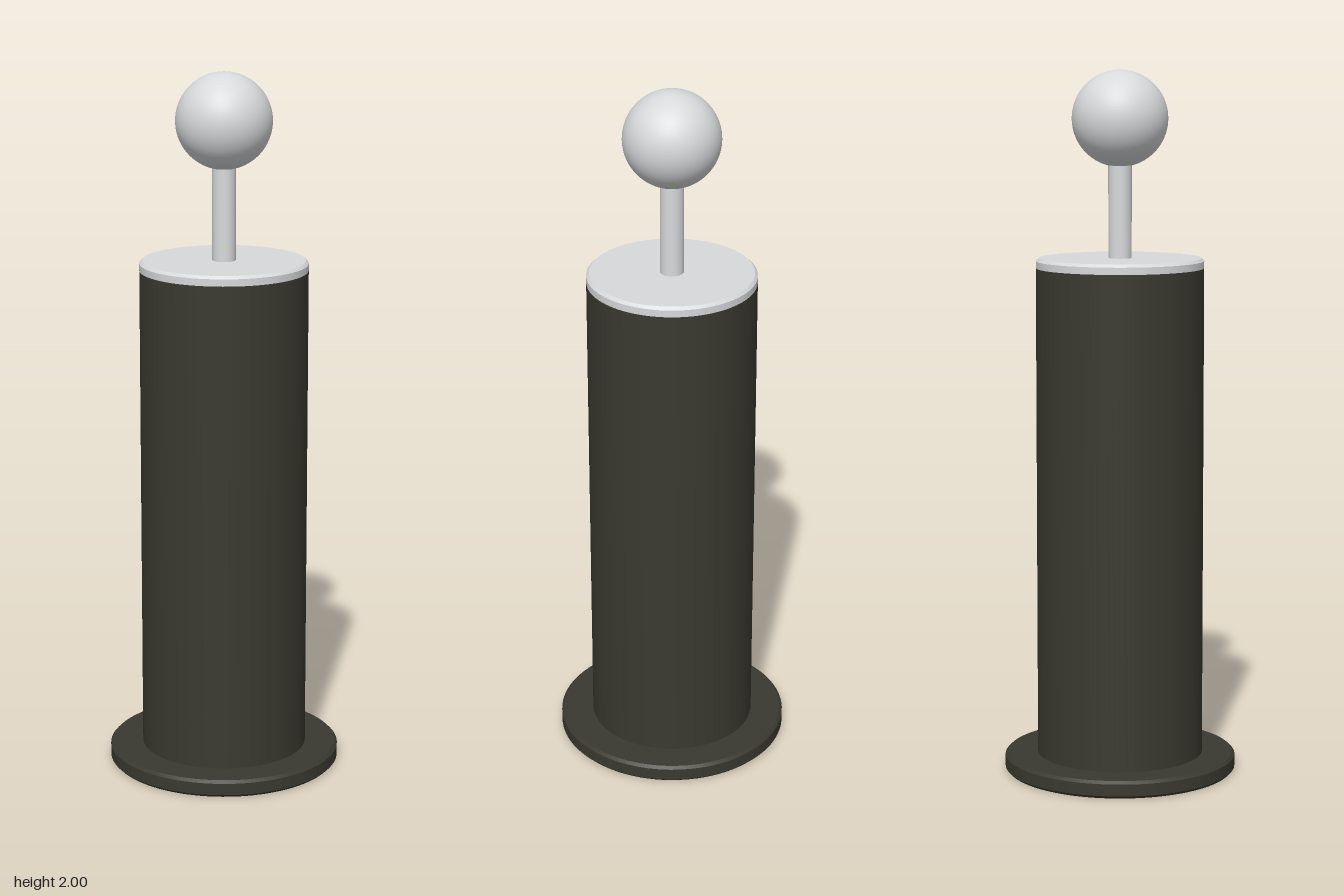
import * as THREE from 'three';
import { toCreasedNormals } from 'three/addons/utils/BufferGeometryUtils.js';

const SEGMENTS = 96;

// Solid disc or cylinder of revolution with small bevels on its rims
function turned(radius, bottom, top, bevelBottom, bevelTop) {
  const profile = [new THREE.Vector2(0, bottom), new THREE.Vector2(radius - bevelBottom, bottom)];
  if (bevelBottom > 0) profile.push(new THREE.Vector2(radius, bottom + bevelBottom));
  profile.push(new THREE.Vector2(radius, top - bevelTop));
  if (bevelTop > 0) profile.push(new THREE.Vector2(radius - bevelTop, top));
  profile.push(new THREE.Vector2(0, top));
  return toCreasedNormals(new THREE.LatheGeometry(profile, SEGMENTS), Math.PI / 6);
}

export function createModel() {
  const dark = new THREE.MeshStandardMaterial({ color: 0x3a3930 });
  dark.name = 'dark olive';
  const silver = new THREE.MeshStandardMaterial({ color: 0xd8d9db });
  silver.name = 'silver';

  const group = new THREE.Group();
  group.name = 'post';
  const add = (name, geometry, material, y = 0) => {
    const mesh = new THREE.Mesh(geometry, material);
    mesh.name = name;
    mesh.position.y = y;
    group.add(mesh);
  };

  // Flat foot and tall barrel
  add('baseFlange', turned(0.331, 0, 0.05, 0.008, 0.008), dark);
  add('barrel', turned(0.237, 0.05, 1.447, 0, 0), dark);

  // Metal lid, thin rod and ball knob
  add('topCap', turned(0.237, 1.447, 1.475, 0, 0.008), silver);
  add('rod', new THREE.CylinderGeometry(0.033, 0.033, 0.3, 48, 1, true), silver, 1.615);
  add('ballKnob', new THREE.SphereGeometry(0.135, 64, 40), silver, 1.865);

  return group;
}
